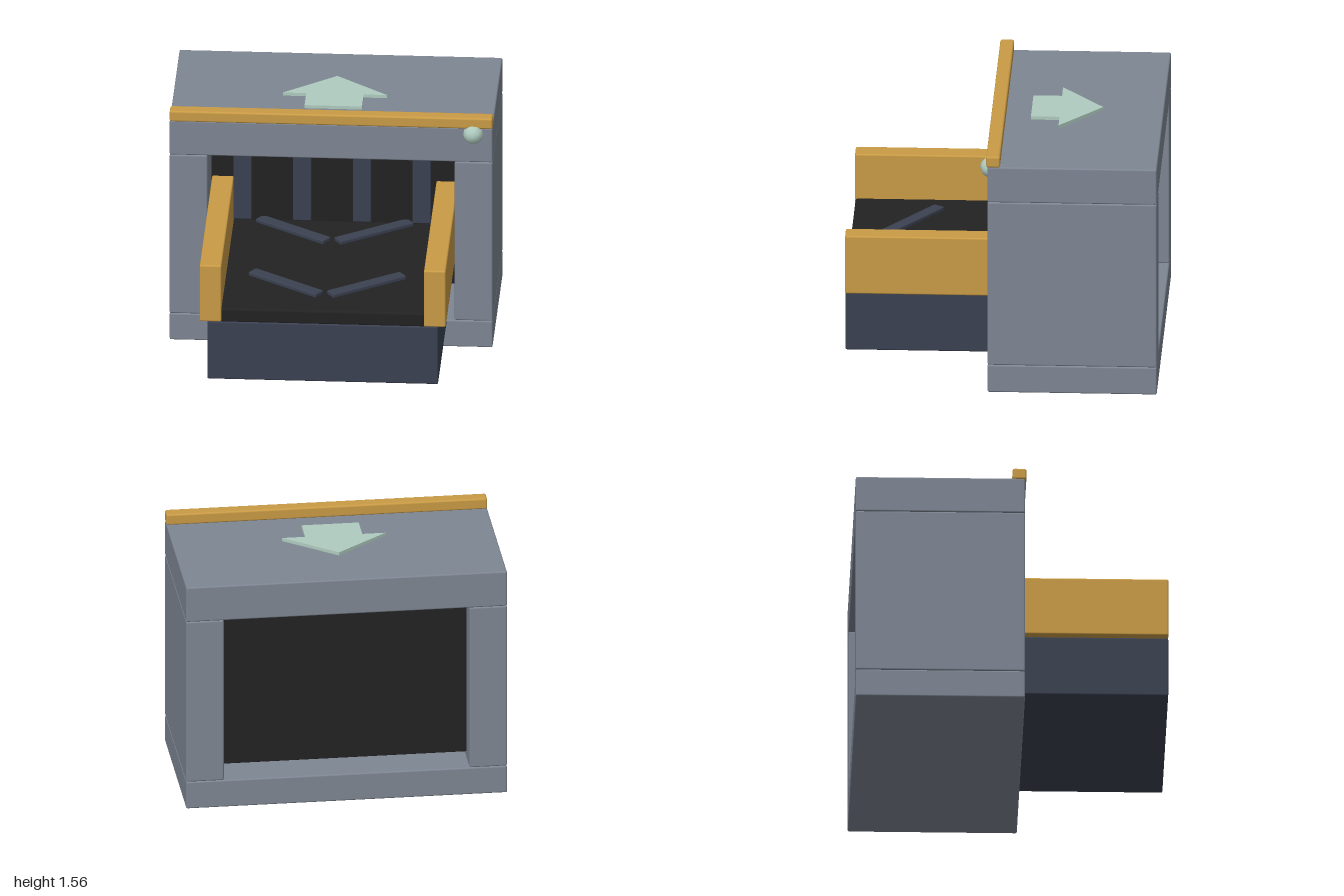
import * as THREE from 'three';
import { RoundedBoxGeometry } from 'three/addons/geometries/RoundedBoxGeometry.js';

const mat = (name, color) => {
  const m = new THREE.MeshStandardMaterial({ color });
  m.name = name;
  return m;
};

export function createModel() {
  const grey = mat('housing grey', 0x7e8693);
  const amber = mat('amber trim', 0xc99b45);
  const black = mat('rubber black', 0x222222);
  const slate = mat('dark slate', 0x3b4151);
  const mint = mat('pale mint', 0xafcbbf);

  const model = new THREE.Group();
  model.name = 'conveyorPort';

  // Softly bevelled box given by its min and max on each axis
  const box = (name, material, [x0, x1], [y0, y1], [z0, z1], r = 0.01, parent = model) => {
    const mesh = new THREE.Mesh(new RoundedBoxGeometry(x1 - x0, y1 - y0, z1 - z0, 2, r), material);
    mesh.position.set((x0 + x1) / 2, (y0 + y1) / 2, (z0 + z1) / 2);
    mesh.name = name;
    parent.add(mesh);
    return mesh;
  };

  // Housing: a four-sided frame, open front and back
  const housing = new THREE.Group();
  housing.name = 'housing';
  model.add(housing);
  const depth = [-0.97, 0.077];
  box('housingFloor', grey, [-1, 1], [0, 0.18], depth, 0.01, housing);
  box('housingRoof', grey, [-1, 1], [1.26, 1.493], depth, 0.01, housing);
  box('leftWall', grey, [0.765, 1], [0.18, 1.26], depth, 0.01, housing);
  box('rightWall', grey, [-1, -0.765], [0.18, 1.26], depth, 0.01, housing);

  // Dark block closing the tunnel
  box('tunnelBlock', black, [-0.766, 0.766], [0.23, 1.265], [-0.83, -0.35], 0.003);

  // Conveyor: base, belt and side rails
  box('conveyorBase', slate, [-0.715, 0.715], [0.155, 0.547], [-0.43, 0.97]);
  box('belt', black, [-0.635, 0.635], [0.54, 0.635], [-0.43, 0.966], 0.015);
  box('leftRail', amber, [0.627, 0.762], [0.545, 0.927], [-0.43, 0.97]);
  box('rightRail', amber, [-0.762, -0.627], [0.545, 0.927], [-0.43, 0.97]);

  // Two rows of chevron bars on the belt
  for (const z of [0.592, -0.19]) {
    for (const side of [-1, 1]) {
      const bar = box('chevronBar', slate, [-0.265, 0.265], [0.632, 0.66], [-0.039, 0.039], 0.007);
      bar.position.x = side * 0.25;
      bar.position.z = z;
      bar.rotation.y = side * 0.61;
    }
  }

  // Hanging curtain strips
  for (const x of [-0.555, -0.185, 0.185, 0.555]) {
    box('curtainStrip', slate, [x - 0.057, x + 0.057], [0.785, 1.275], [-0.055, -0.025], 0.008);
  }

  // Trim bar along the front of the roof
  box('trimBar', amber, [-1, 1], [1.49, 1.562], [0, 0.086], 0.012);

  // Direction arrow on the roof, pointing to the back
  const half = [[0.178, 0.155], [0.178, 0.332], [0.323, 0.332]];
  const outline = [...half, [0, 0.595], ...half.map(([x, y]) => [-x, y]).reverse()];
  const arrow = new THREE.Mesh(
    new THREE.ExtrudeGeometry(new THREE.Shape(outline.map((p) => new THREE.Vector2(...p))), {
      depth: 0.022, bevelEnabled: false,
    }), mint);
  arrow.rotation.x = -Math.PI / 2;
  arrow.position.y = 1.492;
  arrow.name = 'roofArrow';
  model.add(arrow);

  // Faceted signal lamp
  const lamp = new THREE.Mesh(new THREE.IcosahedronGeometry(0.066, 1), mint);
  lamp.position.set(0.88, 1.45, 0.063);
  lamp.name = 'signalLamp';
  model.add(lamp);

  return model;
}
